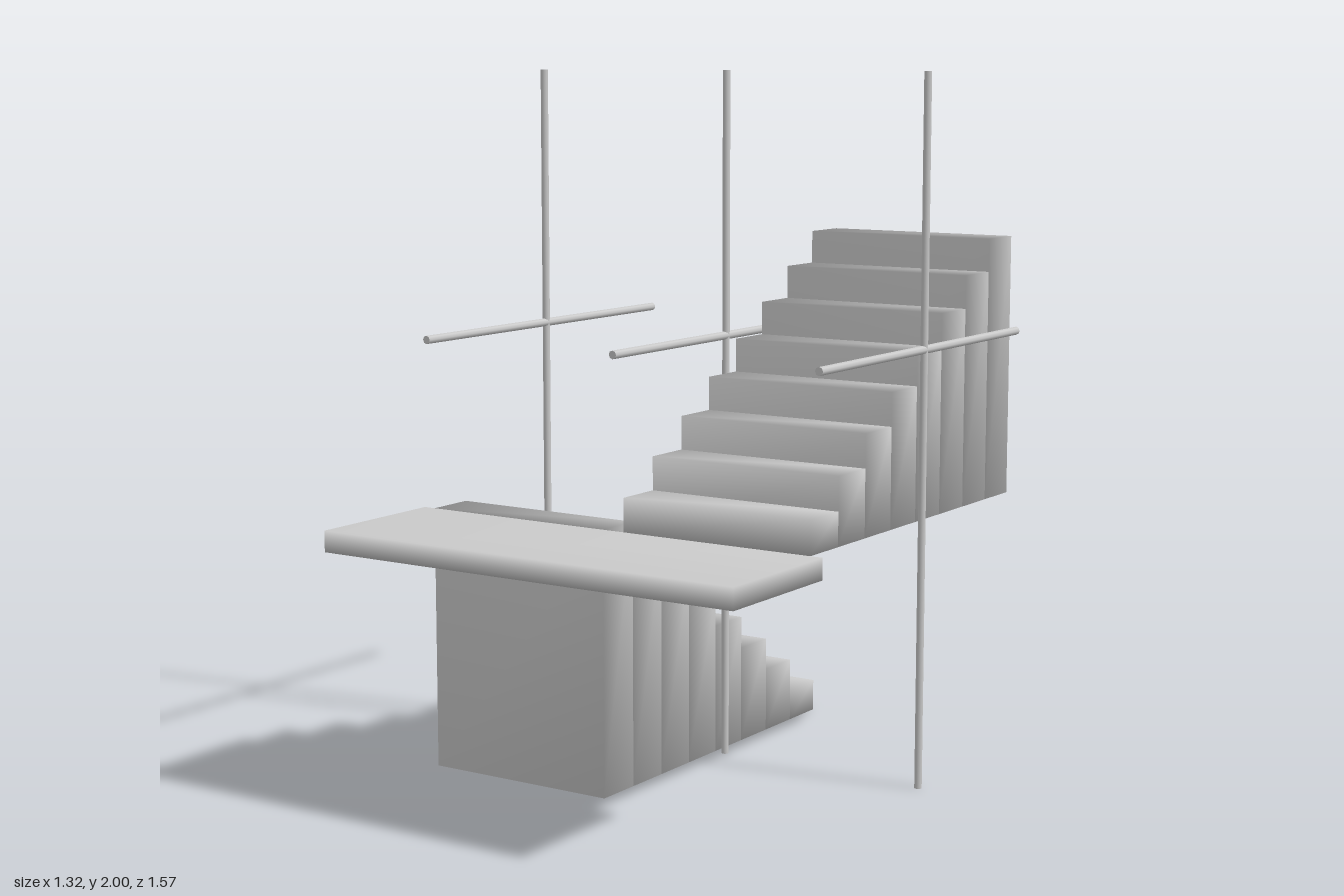
import * as THREE from 'three';
import { mergeVertices } from 'three/addons/utils/BufferGeometryUtils.js';

const STEPS = 8, RISE = 0.095, BACK = -0.785, FRONT = 0.355;
const RUN = (FRONT - BACK) / STEPS;
const LANDING_TOP = STEPS * RISE;

export function createModel() {
  const model = new THREE.Group();
  model.name = 'staircase';
  const material = new THREE.MeshStandardMaterial({ color: 0xcccccc });

  // Box from its limits, with normals shared at the corners for soft shading
  function softBox(name, x0, x1, y0, y1, z0, z1, parent) {
    let geometry = new THREE.BoxGeometry(x1 - x0, y1 - y0, z1 - z0);
    geometry.deleteAttribute('normal');
    geometry.deleteAttribute('uv');
    geometry = mergeVertices(geometry);
    geometry.computeVertexNormals();
    const mesh = new THREE.Mesh(geometry, material);
    mesh.name = name;
    mesh.position.set((x0 + x1) / 2, (y0 + y1) / 2, (z0 + z1) / 2);
    parent.add(mesh);
  }

  // Two flights of solid steps: the lower rises to the front, the upper to the back
  const lower = new THREE.Group();
  lower.name = 'lowerFlight';
  const upper = new THREE.Group();
  upper.name = 'upperFlight';
  for (let i = 0; i < STEPS; i++) {
    const height = (i + 1) * RISE;
    const zLow = BACK + i * RUN;
    const zHigh = FRONT - i * RUN;
    softBox('lowerStep', -0.624, -0.034, 0, height, zLow, zLow + RUN, lower);
    softBox('upperStep', 0.034, 0.624, LANDING_TOP, LANDING_TOP + height, zHigh - RUN, zHigh, upper);
  }
  model.add(lower, upper);

  // Landing joining the flights
  softBox('landing', -0.66, 0.66, 0.70, LANDING_TOP, FRONT, 0.785, model);

  // Upright posts, each crossed by a level handrail
  const postGeometry = new THREE.CylinderGeometry(0.011, 0.011, 2, 8);
  const railGeometry = new THREE.CylinderGeometry(0.012, 0.012, FRONT - BACK, 8).rotateX(Math.PI / 2);
  for (const x of [-0.645, 0, 0.645]) {
    const post = new THREE.Mesh(postGeometry, material);
    post.name = 'post';
    post.position.set(x, 1, (FRONT + BACK) / 2);
    const rail = new THREE.Mesh(railGeometry, material);
    rail.name = 'handrail';
    rail.position.set(x, 1.243, (FRONT + BACK) / 2);
    model.add(post, rail);
  }
  return model;
}
